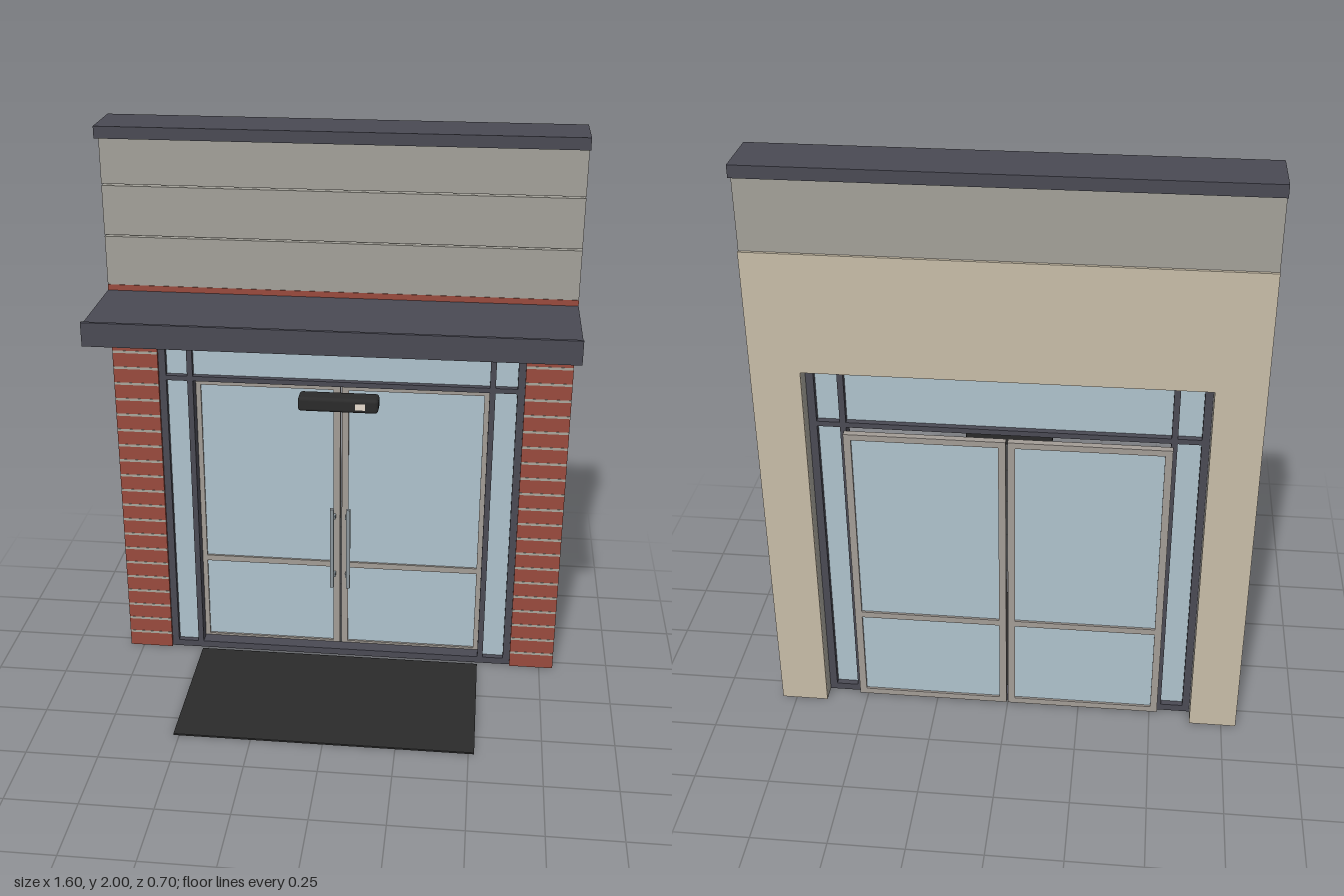
import * as THREE from 'three';
import { RoundedBoxGeometry } from 'three/addons/geometries/RoundedBoxGeometry.js';

const mat = (name, color) => {
  const m = new THREE.MeshStandardMaterial({ color });
  m.name = name;
  return m;
};

export function createModel() {
  const steel = mat('dark steel', 0x4a4a54);
  const cladding = mat('grey cladding', 0xa3a199);
  const plaster = mat('beige plaster', 0xc8bda8);
  const brick = mat('red brick', 0x9a4b3d);
  const mortar = mat('mortar', 0xaaa69c);
  const glass = mat('pale blue glass', 0xafc3cd);
  const aluminium = mat('door aluminium', 0xa39d96);
  const handleMetal = mat('handle metal', 0x8d979d);
  const black = mat('black', 0x2b2b2b);
  const white = mat('sensor white', 0xe8dccf);

  const model = new THREE.Group();
  model.name = 'storefrontEntrance';

  const add = (parent, name, geometry, material) => {
    const mesh = new THREE.Mesh(geometry, material);
    mesh.name = name;
    parent.add(mesh);
    return mesh;
  };
  // Box given by its limits on each axis
  const box = (parent, name, material, x0, x1, y0, y1, z0, z1) => {
    const mesh = add(parent, name, new THREE.BoxGeometry(x1 - x0, y1 - y0, z1 - z0), material);
    mesh.position.set((x0 + x1) / 2, (y0 + y1) / 2, (z0 + z1) / 2);
    return mesh;
  };
  const group = (name) => {
    const g = new THREE.Group();
    g.name = name;
    model.add(g);
    return g;
  };
  // Wall layer with the doorway cut out from the ground up
  const wallLayer = (name, material, top, z0, z1) => {
    const s = new THREE.Shape([
      [-0.8, 0], [-0.64, 0], [-0.64, 1.32], [0.64, 1.32],
      [0.64, 0], [0.8, 0], [0.8, top], [-0.8, top],
    ].map(([x, y]) => new THREE.Vector2(x, y)));
    const g = new THREE.ExtrudeGeometry(s, { depth: z1 - z0, bevelEnabled: false });
    g.translate(0, 0, z0);
    return add(model, name, g, material);
  };

  // Wall: core, inner plaster and brick facing
  wallLayer('wallCore', cladding, 1.96, -0.32, -0.235);
  wallLayer('innerPlaster', plaster, 1.72, -0.33, -0.32);
  wallLayer('brickFacing', brick, 1.445, -0.235, -0.21);

  // Mortar lines on both brick piers
  const joints = group('mortarJoints');
  for (let k = 1; k <= 22; k++) {
    for (const s of [-1, 1]) {
      const line = box(joints, 'mortarJoint', mortar, -0.08, 0.08, -0.0045, 0.0045, -0.212, -0.209);
      line.position.x = s * 0.72;
      line.position.y = k * 0.06 - (k === 22 ? 0 : 0.001);
    }
  }

  // Upper cladding: three boards with narrow gaps
  const boards = group('claddingBoards');
  const edges = [1.445, 1.615, 1.79, 1.96];
  for (let i = 0; i < 3; i++) {
    box(boards, 'claddingBoard', cladding, -0.8, 0.8, edges[i] + (i ? 0.006 : 0), edges[i + 1], -0.235, -0.212);
  }

  // Parapet cap
  box(model, 'parapetCap', steel, -0.8, 0.8, 1.96, 2, -0.35, -0.155);

  // Canopy with front fascia and downlights
  const canopy = group('canopy');
  box(canopy, 'canopySlab', steel, -0.8, 0.8, 1.38, 1.425, -0.21, 0.146);
  box(canopy, 'canopyFascia', steel, -0.8, 0.8, 1.355, 1.436, 0.143, 0.155);
  for (const x of [-0.45, 0, 0.45]) {
    const lamp = add(canopy, 'downlight', new THREE.CylinderGeometry(0.028, 0.022, 0.016, 20), steel);
    lamp.position.set(x, 1.373, -0.01);
  }

  // Fixed frame: jambs, mullions, head, transom and sill
  const frame = group('entranceFrame');
  const zb = -0.27, zf = -0.22;
  for (const s of [-1, 1]) {
    const bar = (name, a, b) =>
      box(frame, name, steel, Math.min(s * a, s * b), Math.max(s * a, s * b), 0, 1.32, zb, zf);
    bar('frameJamb', 0.615, 0.64);
    bar('frameMullion', 0.52, 0.54);
    const c = s * 0.5775;
    box(frame, 'sidelightGlass', glass, c - 0.0375, c + 0.0375, 0.025, 1.1, -0.249, -0.241);
  }
  box(frame, 'frameHead', steel, -0.615, 0.615, 1.298, 1.32, zb, zf);
  box(frame, 'frameTransom', steel, -0.615, 0.615, 1.095, 1.113, zb, zf);
  box(frame, 'frameSill', steel, -0.615, 0.615, 0, 0.025, zb, zf);
  box(frame, 'transomGlass', glass, -0.615, 0.615, 1.113, 1.298, -0.249, -0.241);

  // Pair of door leaves behind the frame
  for (const s of [-1, 1]) {
    const leaf = group(s > 0 ? 'leftDoor' : 'rightDoor');
    const part = (name, material, a, b, y0, y1, z0 = -0.295, z1 = -0.271) =>
      box(leaf, name, material, Math.min(s * a, s * b), Math.max(s * a, s * b), y0, y1, z0, z1);
    part('meetingStile', aluminium, 0.003, 0.027, 0.01, 1.083);
    part('outerStile', aluminium, 0.503, 0.527, 0.01, 1.083);
    part('topRail', aluminium, 0.027, 0.503, 1.062, 1.083);
    part('middleRail', aluminium, 0.027, 0.503, 0.35, 0.372);
    part('bottomRail', aluminium, 0.027, 0.503, 0.01, 0.032);
    part('doorGlass', glass, 0.027, 0.503, 0.032, 1.062, -0.287, -0.279);
    // Pull handle on two standoffs
    part('pullHandle', handleMetal, 0.023, 0.037, 0.28, 0.605, -0.25, -0.236);
    for (const y of [0.32, 0.56]) part('handleStandoff', handleMetal, 0.018, 0.03, y, y + 0.012, -0.272, -0.248);
  }

  // Motion sensor above the doors
  const sensor = group('motionSensor');
  const body = add(sensor, 'sensorBody', new RoundedBoxGeometry(0.28, 0.052, 0.07, 2, 0.012), black);
  body.position.set(0, 1.052, -0.185);
  box(sensor, 'sensorWindow', white, 0.06, 0.095, 1.04, 1.063, -0.152, -0.148);

  // Floor mat
  box(model, 'floorMat', black, -0.52, 0.52, 0, 0.006, -0.2, 0.35);

  return model;
}
